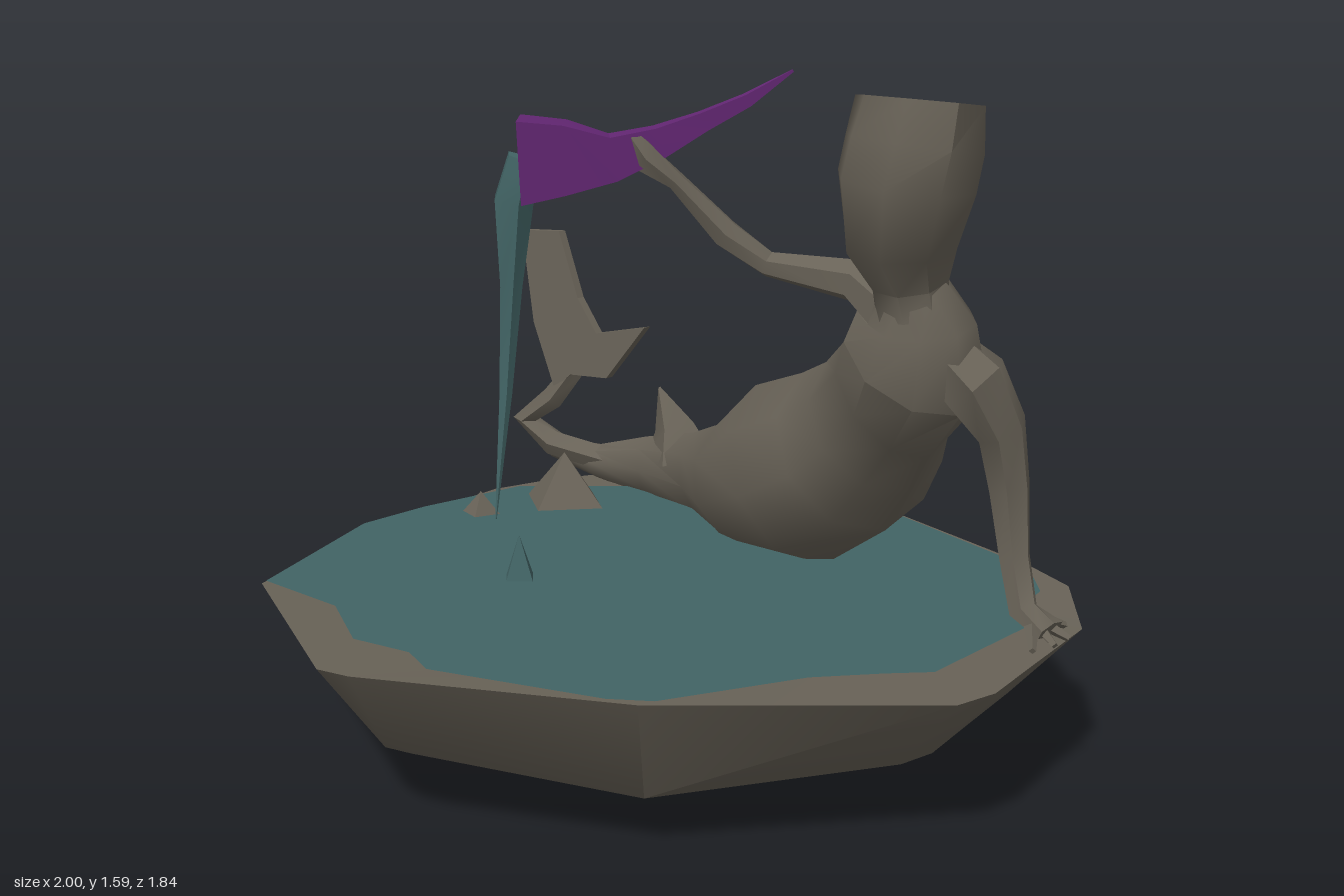
import * as THREE from 'three';
import { toCreasedNormals } from 'three/addons/utils/BufferGeometryUtils.js';

const V = (x, y, z) => new THREE.Vector3(x, y, z);
const SIDE = V(0, 0, 1), UP = V(0, 1, 0);

// Skin between successive loops of points, with optional end caps
function skin(rings, capStart, capEnd, crease = 0.7) {
  const n = rings[0].length, last = rings.length - 1;
  const pts = rings.flat();
  const index = [];
  for (let i = 0; i < last; i++) for (let j = 0; j < n; j++) {
    const a = i * n + j, b = i * n + (j + 1) % n;
    index.push(a, a + n, b, b, a + n, b + n);
  }
  const cap = (r, flip) => {
    const mid = rings[r].reduce((s, p) => s.add(p), V(0, 0, 0)).divideScalar(n);
    const m = pts.push(mid) - 1;
    for (let j = 0; j < n; j++) {
      const a = r * n + j, b = r * n + (j + 1) % n;
      index.push(m, flip ? b : a, flip ? a : b);
    }
  };
  if (capStart) cap(0, false);
  if (capEnd) cap(last, true);
  const g = new THREE.BufferGeometry().setFromPoints(pts);
  g.setIndex(index);
  return toCreasedNormals(g, crease);
}

// Elliptical sections [x, y, z, ru, rv] swept square to their path
function loft(sections, sides, ref, { phase = 0, open = false, crease = 0.7 } = {}) {
  const c = sections.map(s => V(s[0], s[1], s[2]));
  const rings = sections.map((s, i) => {
    const t = c[Math.min(i + 1, c.length - 1)].clone().sub(c[Math.max(i - 1, 0)]).normalize();
    const u = t.clone().cross(ref).normalize();
    const v = u.clone().cross(t);
    return Array.from({ length: sides }, (_, j) => {
      const a = phase + j / sides * Math.PI * 2;
      return c[i].clone().addScaledVector(u, s[3] * Math.cos(a)).addScaledVector(v, s[4] * Math.sin(a));
    });
  });
  return skin(rings, true, !open, crease);
}

export function createModel() {
  const group = new THREE.Group();
  const mat = (name, color) => new THREE.MeshStandardMaterial({ name, color, side: THREE.DoubleSide });
  const stone = mat('stone', 0x686257);
  const water = mat('water', 0x426465);
  const purple = mat('purple shell', 0x622672);
  const add = (name, geometry, material) => {
    const m = new THREE.Mesh(geometry, material);
    m.name = name;
    group.add(m);
    return m;
  };

  // Irregular basin with an open foot: rim x, z, then foot scale and belly height
  const rim = [[0.1, -0.92], [0.62, -0.76], [0.78, -0.68], [0.93, -0.48], [0.97, -0.2], [1, 0], [0.98, 0.11],
    [0.55, 0.6, 0.42, 0.13], [0.02, 0.9], [-0.06, 0.92], [-0.6, 0.66], [-0.82, 0.17], [-0.84, -0.05, 0.44],
    [-0.88, -0.36, 0.3], [-0.84, -0.55, 0.25], [-0.68, -0.77, 0.24], [-0.55, -0.81, 0.26], [-0.4, -0.77, 0.32]];
  const level = z => 0.388 + 0.02 * z;
  const ring = (scale, dz, y) => rim.map(([x, z, , belly]) => V(x * scale, y(x, z, belly), z * scale + dz));
  add('basin', skin([
    rim.map(([x, z, foot = 0.42]) => V(x * foot, 0, z * foot - 0.11)),
    ring(0.84, -0.02, (x, z, belly = 0.18) => belly),
    ring(1, 0, (x, z) => level(z) - (Math.abs(x) > 0.8 ? 0.02 : 0)),
    ring(0.72, 0, (x, z) => level(z) - 0.012),
  ], false, false, 0.75), stone);

  // Water surface
  const pool = [[0.1, -0.915], [0.63, -0.745], [0.75, -0.6], [0.78, -0.48], [0.86, -0.38], [0.87, 0.03], [0.8, 0.11],
    [0.7, 0.24], [0.56, 0.56], [0.48, 0.62], [0.1, 0.76], [0, 0.72], [-0.15, 0.75], [-0.35, 0.64], [-0.61, 0.64],
    [-0.82, 0.17], [-0.83, -0.05], [-0.8, -0.38], [-0.68, -0.5], [-0.5, -0.68], [-0.4, -0.765]];
  add('water', skin([pool.map(([x, z]) => V(x, level(z), z))], false, true, 0.3), water);

  // Body: tail, hips, narrow waist, chest and neck in one sweep
  add('body', loft([
    [-0.88, 0.44, -0.6, 0.03, 0.03],
    [-0.72, 0.42, -0.63, 0.05, 0.05],
    [-0.52, 0.44, -0.63, 0.06, 0.09],
    [-0.3, 0.46, -0.62, 0.1, 0.13],
    [-0.1, 0.5, -0.54, 0.17, 0.17],
    [0.12, 0.58, -0.48, 0.22, 0.245],
    [0.3, 0.68, -0.46, 0.22, 0.22],
    [0.42, 0.78, -0.38, 0.16, 0.185],
    [0.52, 0.87, -0.29, 0.11, 0.17],
    [0.62, 0.98, -0.235, 0.155, 0.18],
    [0.64, 1.07, -0.22, 0.11, 0.13],
    [0.625, 1.15, -0.195, 0.075, 0.09],
  ], 9, V(-1, 1, 0), { crease: 0.9 }), stone);

  // Head with hair flaring up to a flat crown, turned toward the raised arm
  add('head', loft([
    [0.63, 1.08, -0.2, 0.1, 0.08],
    [0.62, 1.16, -0.195, 0.1, 0.085],
    [0.625, 1.25, -0.15, 0.13, 0.125],
    [0.64, 1.38, -0.14, 0.165, 0.15],
    [0.65, 1.46, -0.15, 0.175, 0.145],
    [0.652, 1.55, -0.16, 0.182, 0.125],
  ], 8, V(-0.5, 0, 0.86), { crease: 0.9 }), stone);

  // Arms
  add('leftArm', loft([
    [0.67, 1.02, -0.23, 0.06, 0.08],
    [0.765, 0.945, -0.25, 0.07, 0.1],
    [0.805, 0.84, -0.3, 0.05, 0.07],
    [0.81, 0.7, -0.335, 0.045, 0.055],
    [0.84, 0.55, -0.32, 0.035, 0.04],
    [0.88, 0.44, -0.3, 0.035, 0.035],
    [0.95, 0.41, -0.3, 0.02, 0.05],
  ], 6, SIDE), stone);
  add('rightArm', loft([
    [0.6, 1.06, -0.22, 0.07, 0.08],
    [0.47, 1.14, -0.21, 0.05, 0.055],
    [0.26, 1.16, -0.16, 0.03, 0.035],
    [0.18, 1.23, -0.1, 0.035, 0.035],
    [0.1, 1.35, -0.02, 0.02, 0.025],
    [0.05, 1.4, 0.03, 0.04, 0.03],
    [0.03, 1.45, 0.05, 0.02, 0.02],
  ], 6, SIDE), stone);
  for (const [x, z] of [[0.96, -0.21], [0.98, -0.27], [0.98, -0.33], [0.93, -0.4], [0.83, -0.39]])
    add('leftFinger', loft([[0.9, 0.43, -0.3, 0.02, 0.02], [x, 0.39, z, 0.008, 0.008]], 4, UP), stone);

  // Curled tail end
  add('tailStem', loft([
    [-0.68, 0.43, -0.63, 0.035, 0.05],
    [-0.86, 0.46, -0.58, 0.035, 0.05],
    [-0.945, 0.525, -0.55, 0.04, 0.035],
    [-0.85, 0.6, -0.57, 0.035, 0.03],
    [-0.78, 0.69, -0.59, 0.03, 0.03],
  ], 5, SIDE), stone);

  // Two-lobed tail fin, leaning back
  const fin = new THREE.Shape([[-0.83, 0.63], [-0.77, 0.68], [-0.63, 0.69], [-0.5, 0.85], [-0.68, 0.81], [-0.76, 0.9],
    [-0.85, 1.08], [-1, 1.07], [-0.93, 0.81]].map(p => new THREE.Vector2(...p)));
  const finGeo = new THREE.ExtrudeGeometry(fin, { depth: 0.025, bevelEnabled: false });
  const fp = finGeo.attributes.position;
  for (let i = 0; i < fp.count; i++) fp.setZ(i, fp.getZ(i) - 0.59 - (fp.getY(i) - 0.75) * 0.1);
  finGeo.computeVertexNormals();
  add('tailFin', finGeo, stone);

  // Pointed fin on the upper side of the tail
  add('sideFin', loft([
    [-0.4, 0.48, -0.61, 0.14, 0.07],
    [-0.42, 0.575, -0.61, 0.075, 0.04],
    [-0.475, 0.68, -0.61, 0.004, 0.004],
  ], 4, SIDE), stone);

  // Rocks breaking the surface
  const rock = (x, z, r, h, turn) => {
    const m = add('rock', toCreasedNormals(new THREE.ConeGeometry(r, h, 4), 0.2), stone);
    m.position.set(x, 0.365 + h / 2, z);
    m.rotation.y = turn;
  };
  rock(-0.6, -0.36, 0.14, 0.155, 0.15);
  rock(-0.68, -0.12, 0.07, 0.08, 0.5);

  // Conch shell with an open mouth
  const q = Math.PI / 4;
  add('shell', loft([
    [0.245, 1.59, -0.255, 0.004, 0.004],
    [0.18, 1.525, -0.17, 0.024, 0.02],
    [0.12, 1.48, -0.09, 0.033, 0.03],
    [0.05, 1.435, -0.02, 0.06, 0.048],
    [-0.02, 1.4, 0.06, 0.08, 0.07],
    [-0.1, 1.4, 0.13, 0.12, 0.11],
    [-0.175, 1.395, 0.2, 0.14, 0.132],
  ], 4, UP, { phase: q, open: true, crease: 0.3 }), purple);
  add('shellLining', loft([
    [-0.15, 1.4, 0.177, 0.122, 0.117], [-0.155, 1.4, 0.182, 0.122, 0.117],
  ], 4, UP, { phase: q }), stone);

  // Poured water and its splash
  add('pouringWater', loft([
    [-0.17, 1.4, 0.2, 0.045, 0.03],
    [-0.195, 1.3, 0.21, 0.057, 0.04],
    [-0.21, 1.1, 0.205, 0.03, 0.025],
    [-0.212, 0.85, 0.225, 0.017, 0.015],
    [-0.215, 0.55, 0.26, 0.002, 0.002],
  ], 5, SIDE), water);
  const splash = add('splash', toCreasedNormals(new THREE.ConeGeometry(0.05, 0.12, 4), 0.2), water);
  splash.position.set(-0.2, 0.44, 0.2);

  return group;
}
